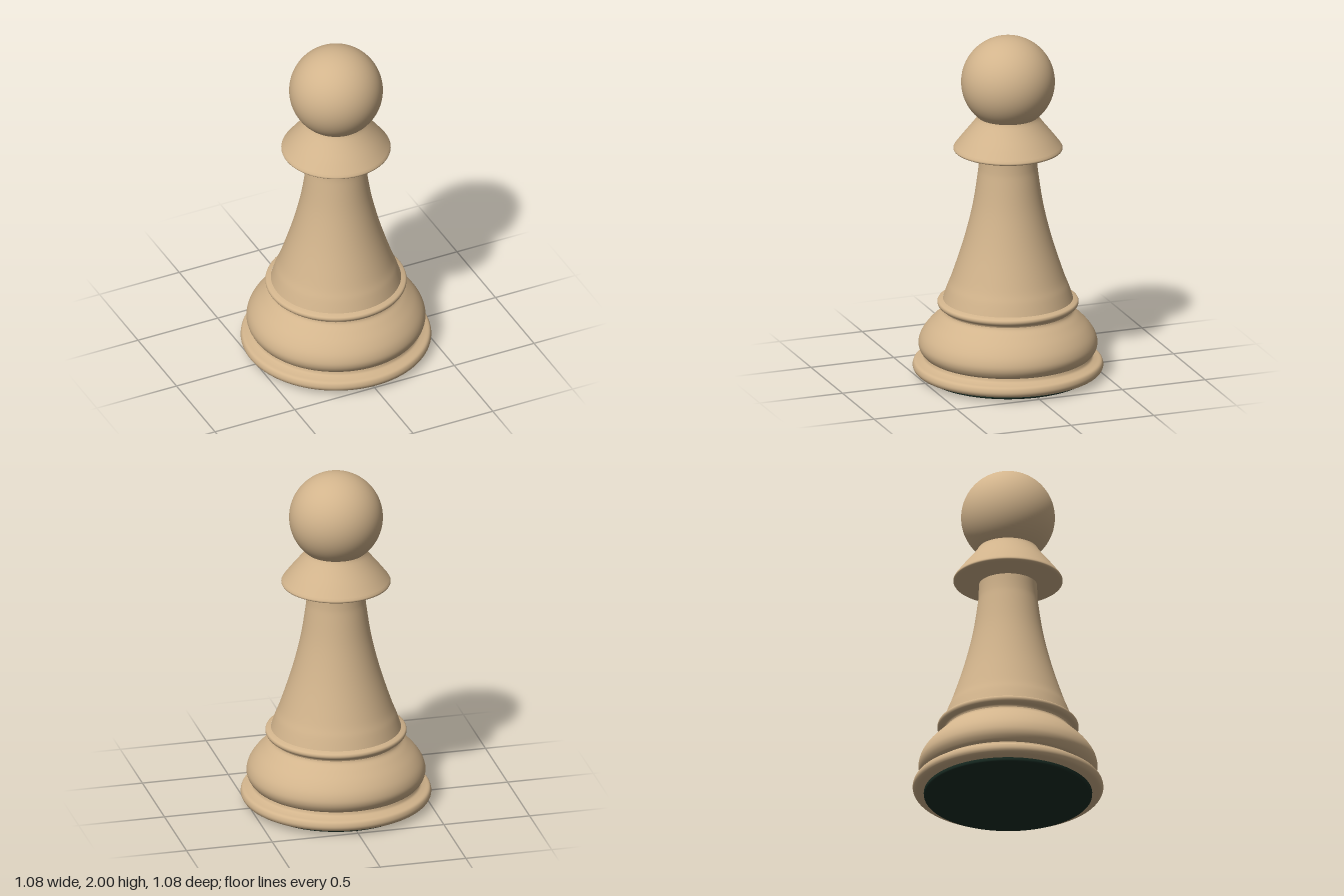
import * as THREE from 'three';

const wood = new THREE.MeshStandardMaterial({ color: 0xd2b48c });
const felt = new THREE.MeshStandardMaterial({ color: 0x1a2e25 });
const SEGMENTS = 96;

const vectors = (points) => points.map(([r, y]) => new THREE.Vector2(r, y));

// Smooth profile through [radius, height] points, listed from bottom to top
const smooth = (points, steps) => new THREE.SplineCurve(vectors(points)).getPoints(steps);

// Turned part from one or more profile runs; edges between runs stay sharp
function turned(name, material, ...runs) {
  const group = new THREE.Group();
  group.name = name;
  runs.forEach((run, i) => {
    const mesh = new THREE.Mesh(new THREE.LatheGeometry(run, SEGMENTS), material);
    mesh.name = `${name}Surface${i + 1}`;
    group.add(mesh);
  });
  return group;
}

export function createModel() {
  const model = new THREE.Group();
  model.name = 'chessPawn';

  // Felt pad under the base
  model.add(turned('feltPad', felt,
    vectors([[0, 0], [0.465, 0]]),
    smooth([[0.465, 0], [0.474, 0.006], [0.476, 0.025]], 6)));

  // Rounded foot rim with a sloping shoulder
  model.add(turned('footRim', wood,
    vectors([[0.44, 0.022], [0.48, 0.022]]),
    smooth([[0.48, 0.022], [0.52, 0.028], [0.536, 0.045], [0.538, 0.065], [0.528, 0.085], [0.5, 0.094], [0.478, 0.104], [0.47, 0.122]], 32)));

  // Bulging base
  model.add(turned('baseBulge', wood,
    smooth([[0.47, 0.122], [0.485, 0.134], [0.502, 0.165], [0.505, 0.2], [0.49, 0.245], [0.455, 0.295], [0.405, 0.345], [0.372, 0.374], [0.364, 0.39]], 40)));

  // Thin ring between base and stem
  model.add(turned('ring', wood,
    smooth([[0.364, 0.39], [0.37, 0.402], [0.39, 0.412], [0.399, 0.427], [0.396, 0.441], [0.383, 0.448], [0.368, 0.453]], 24)));

  // Flared stem
  model.add(turned('stem', wood,
    smooth([[0.368, 0.45], [0.345, 0.52], [0.314, 0.6], [0.25, 0.8], [0.201, 1.0], [0.173, 1.18], [0.166, 1.25], [0.165, 1.33]], 40)));

  // Conical collar with a rounded lip
  model.add(turned('collar', wood,
    vectors([[0.15, 1.313], [0.165, 1.313], [0.295, 1.331]]),
    smooth([[0.295, 1.331], [0.306, 1.336], [0.309, 1.345], [0.302, 1.358]], 10),
    smooth([[0.302, 1.358], [0.26, 1.413], [0.21, 1.475], [0.18, 1.515], [0.17, 1.534]], 16),
    vectors([[0.17, 1.534], [0, 1.534]])));

  // Ball head
  const head = new THREE.Mesh(new THREE.SphereGeometry(0.265, SEGMENTS, 64), wood);
  head.name = 'head';
  head.position.y = 1.735;
  model.add(head);

  return model;
}
